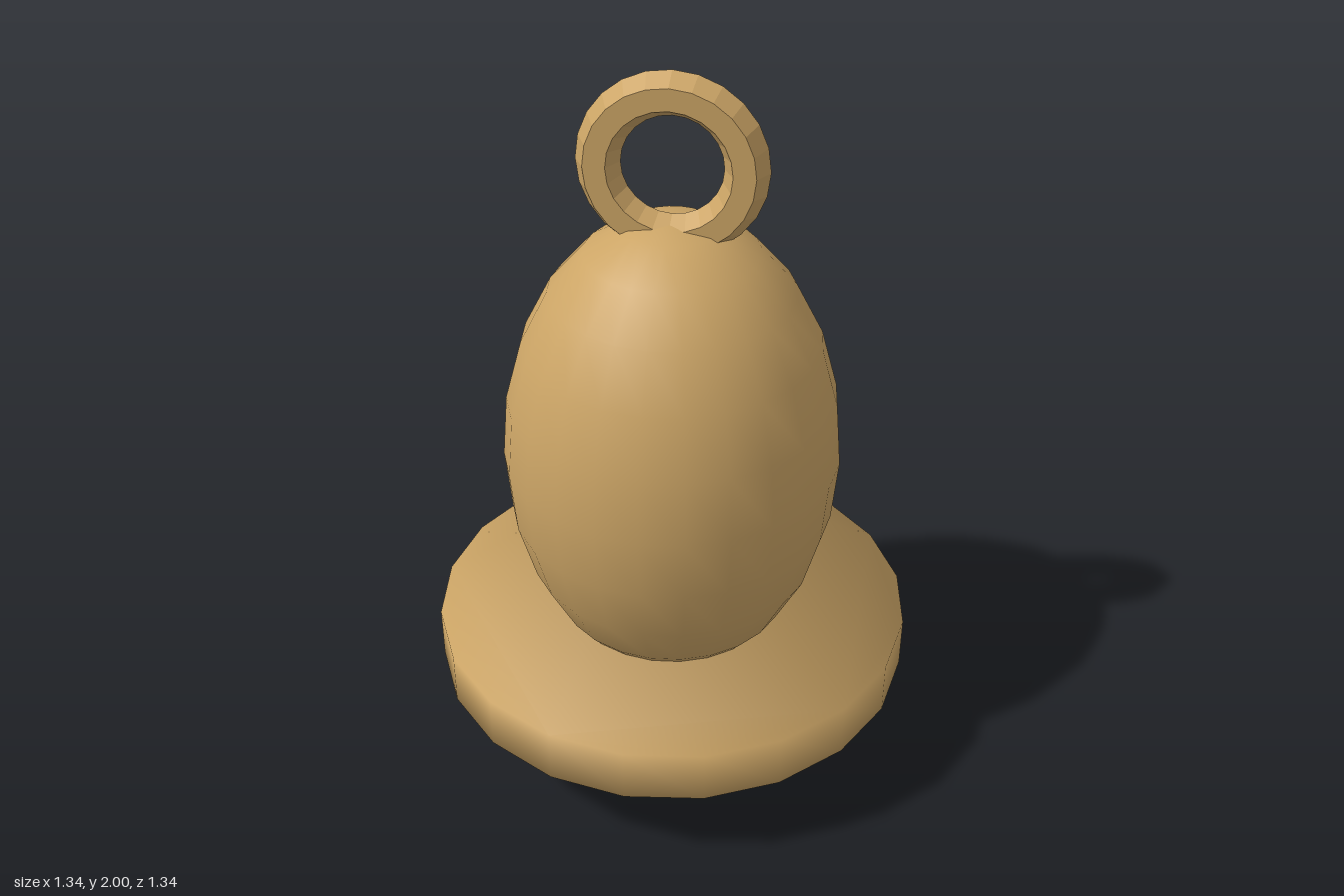
import * as THREE from 'three';

export function createModel() {
  const model = new THREE.Group();
  const bronze = new THREE.MeshStandardMaterial({ color: 0xcca566 });
  const bronzeFlat = new THREE.MeshStandardMaterial({ color: 0xcca566, flatShading: true });
  const steel = new THREE.MeshStandardMaterial({ color: 0x84959a });

  const add = (name, geometry, material, y) => {
    const mesh = new THREE.Mesh(geometry, material);
    mesh.name = name;
    mesh.position.y = y;
    model.add(mesh);
    return mesh;
  };

  // Egg-shaped bell body
  add('bellBody', new THREE.SphereGeometry(0.46, 24, 12).scale(1, 1.5, 1), bronze, 0.92);

  // Wide 20-sided rim, with normals softened across its edges
  const outline = [];
  for (let i = 0; i < 20; i++) {
    const a = (i / 20) * Math.PI * 2;
    outline.push(new THREE.Vector2(0.67 * Math.cos(a), 0.67 * Math.sin(a)));
  }
  const rim = new THREE.ExtrudeGeometry(new THREE.Shape(outline), { depth: 0.15, bevelEnabled: false });
  rim.translate(0, 0, -0.075).rotateX(-Math.PI / 2);
  const position = rim.attributes.position;
  const normal = new THREE.Vector3();
  for (let i = 0; i < position.count; i++) {
    normal.fromBufferAttribute(position, i).divideScalar(0.67);
    normal.y = Math.sign(normal.y) * 0.7;
    normal.normalize();
    rim.attributes.normal.setXYZ(i, normal.x, normal.y, normal.z);
  }
  add('bellRim', rim, bronze, 0.325);

  // Hanging ring with a hexagonal section
  add('hangingRing', new THREE.TorusGeometry(0.189, 0.058, 6, 24), bronzeFlat, 1.753);

  // Clapper ball
  add('clapper', new THREE.SphereGeometry(0.148, 24, 16), steel, 0.152);

  return model;
}
